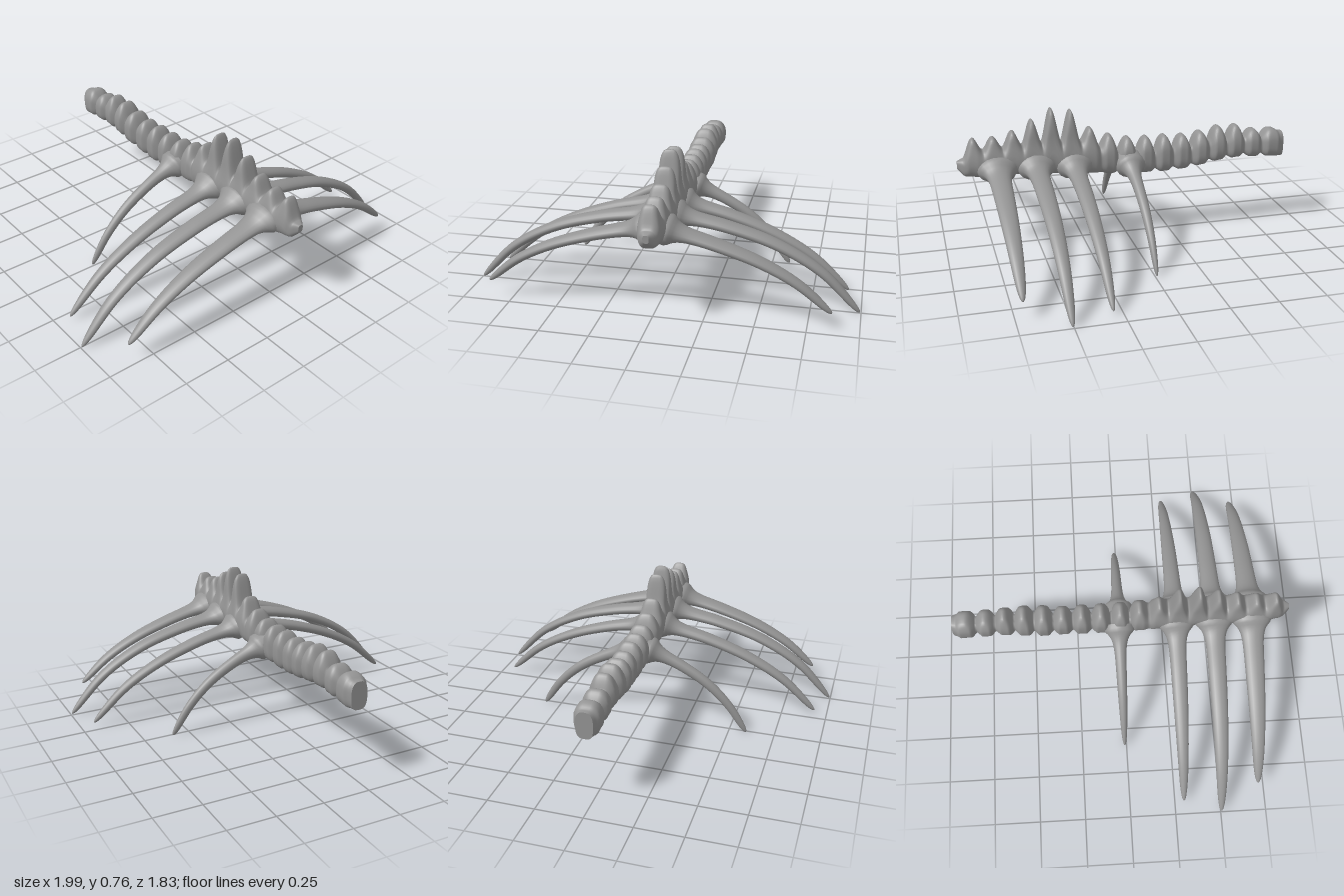
import * as THREE from 'three';

const { lerp, smoothstep, clamp } = THREE.MathUtils;
const material = new THREE.MeshStandardMaterial({ color: 0x949494 });
const SPINE_X = 0.014;

// Piecewise linear lookup in a list of [position, value], positions descending
function sample(list, p) {
  if (p >= list[0][0]) return list[0][1];
  for (let i = 1; i < list.length; i++) {
    const [a, va] = list[i - 1], [b, vb] = list[i];
    if (p >= b) return lerp(va, vb, (a - p) / (a - b));
  }
  return list[list.length - 1][1];
}

// Skin closed rings of equal size and cap both ends
function loft(rings) {
  const n = rings[0].length, pos = [], index = [];
  rings.forEach(r => r.forEach(p => pos.push(p.x, p.y, p.z)));
  for (let i = 0; i < rings.length - 1; i++) {
    for (let j = 0; j < n; j++) {
      const k = (j + 1) % n, a = i * n + j, b = i * n + k;
      index.push(a, b, b + n, a, b + n, a + n);
    }
  }
  [rings[0], rings[rings.length - 1]].forEach((ring, end) => {
    const c = new THREE.Vector3();
    ring.forEach(p => c.addScaledVector(p, 1 / n));
    const base = pos.length / 3;
    ring.forEach(p => pos.push(p.x, p.y, p.z));
    pos.push(c.x, c.y, c.z);
    for (let j = 0; j < n; j++) {
      const a = base + j, b = base + (j + 1) % n;
      if (end) index.push(a, b, base + n); else index.push(b, a, base + n);
    }
  });
  const g = new THREE.BufferGeometry();
  g.setAttribute('position', new THREE.Float32BufferAttribute(pos, 3));
  g.setIndex(index);
  g.computeVertexNormals();
  return g;
}

const power = (v, e) => Math.sign(v) * Math.pow(Math.abs(v), e);

// Vertebrae: height of each upper fin from the front to the tail
const PEAKS = [0.63, 0.63, 0.655, 0.71, 0.765, 0.75, 0.645, 0.6, 0.575, 0.57, 0.57, 0.565, 0.575, 0.597, 0.597, 0.565, 0.56];
const FIRST = 0.83, STEP = 0.104;
const VALLEYS = [[0.915, 0.51], [0.78, 0.56], [0.67, 0.565], [0.46, 0.58], [0.26, 0.57], [0.155, 0.53], [0.05, 0.48],
  [-0.16, 0.47], [-0.37, 0.485], [-0.52, 0.51], [-0.78, 0.51], [-0.91, 0.485]];
const BOTTOMS = [[0.915, 0.47], [0.88, 0.43], [0.8, 0.42], [0.7, 0.425], [0.3, 0.4], [0.15, 0.385], [0, 0.37],
  [-0.2, 0.363], [-0.32, 0.368], [-0.42, 0.383], [-0.53, 0.402], [-0.65, 0.41], [-0.83, 0.398], [-0.91, 0.39]];
const WIDTHS = [[0.915, 0.015], [0.89, 0.038], [0.86, 0.056], [0.81, 0.068], [0.6, 0.076], [0.2, 0.076],
  [0, 0.072], [-0.32, 0.068], [-0.43, 0.077], [-0.53, 0.076], [-0.65, 0.068], [-0.87, 0.067], [-0.91, 0.048]];

function buildSpine() {
  const rings = [], rows = 272, sides = 36, last = PEAKS.length - 1;
  for (let i = 0; i <= rows; i++) {
    const z = lerp(-0.91, 0.915, i / rows);
    const v = clamp(Math.round((FIRST - z) / STEP), 0, last);
    const t = clamp((FIRST - v * STEP - z) / (STEP / 2), -1, 1);
    // The last vertebra ends bluntly, without a notch behind it
    const c = Math.max(0, Math.cos(t * Math.PI / 2 * (v === last && t > 0 ? 0.55 : 1)));
    const rear = 1 - smoothstep(z, 0.02, 0.24);
    const notch = rear * (1 - Math.min(1, c * 1.3));
    const rise = lerp(Math.pow(c, 1.6), Math.pow(c, 0.9), rear);
    const top = lerp(sample(VALLEYS, z), PEAKS[v], rise);
    const bottom = sample(BOTTOMS, z) + notch * 0.018;
    const w = sample(WIDTHS, z) * (1 - 0.45 * notch);
    const mid = (top + bottom) / 2, h = (top - bottom) / 2;
    const ring = [];
    for (let j = 0; j < sides; j++) {
      const a = j / sides * Math.PI * 2;
      const y = mid + h * power(Math.sin(a), 0.75);
      const slim = 1 - 0.25 * smoothstep(y, 0.49, 0.6);
      ring.push(new THREE.Vector3(SPINE_X + w * slim * power(Math.cos(a), 0.6), y, z));
    }
    rings.push(ring);
  }
  return loft(rings);
}

// Ribs: position along the spine, path in (x, y), half width along z
const RIBS = [
  { z: 0.71, width: 0.057, path: [[0.02, 0.475], [0.12, 0.45], [0.3, 0.405], [0.52, 0.33], [0.7, 0.235], [0.865, 0.1]] },
  { z: 0.505, width: 0.052, path: [[0.02, 0.47], [0.12, 0.45], [0.32, 0.415], [0.57, 0.34], [0.8, 0.21], [0.994, 0.013]] },
  { z: 0.3, width: 0.047, path: [[0.02, 0.46], [0.12, 0.435], [0.3, 0.395], [0.53, 0.315], [0.74, 0.2], [0.93, 0.03]] },
  { z: -0.01, width: 0.032, path: [[0.02, 0.44], [0.1, 0.415], [0.22, 0.365], [0.37, 0.275], [0.49, 0.16], [0.594, 0.008]] },
];

function buildRib({ z, width, path }, side) {
  const curve = new THREE.CatmullRomCurve3(path.map(([x, y]) => new THREE.Vector3(x * side, y, z)), false, 'centripetal');
  const rings = [], rows = 90, sides = 18;
  for (let i = 0; i <= rows; i++) {
    const u = 1 - Math.pow(1 - i / rows, 1.4);
    const p = curve.getPointAt(u), t = curve.getTangentAt(u);
    // The root spreads into the side of the spine
    const flare = Math.exp(-Math.max(0, Math.abs(p.x - SPINE_X) - 0.07) / 0.035);
    const round = Math.sqrt(Math.max(0.001, 1 - Math.pow(u, 18)));
    const hw = (width * (1 - 0.62 * Math.pow(u, 1.7)) + flare * 0.05) * round;
    const hh = (lerp(0.033, 0.02, u) + flare * 0.04) * round;
    const ring = [];
    for (let j = 0; j < sides; j++) {
      const a = j / sides * Math.PI * 2, s = Math.sin(a) * hh;
      ring.push(new THREE.Vector3(p.x + t.y * s, p.y - t.x * s, p.z + Math.cos(a) * hw));
    }
    rings.push(ring);
  }
  return loft(rings);
}

export function createModel() {
  const model = new THREE.Group();
  model.name = 'spineWithRibs';
  const add = (name, geometry) => {
    const mesh = new THREE.Mesh(geometry, material);
    mesh.name = name;
    model.add(mesh);
  };
  add('spine', buildSpine());
  RIBS.forEach((rib, i) => {
    add(`leftRib${i + 1}`, buildRib(rib, 1));
    add(`rightRib${i + 1}`, buildRib(rib, -1));
  });
  return model;
}
